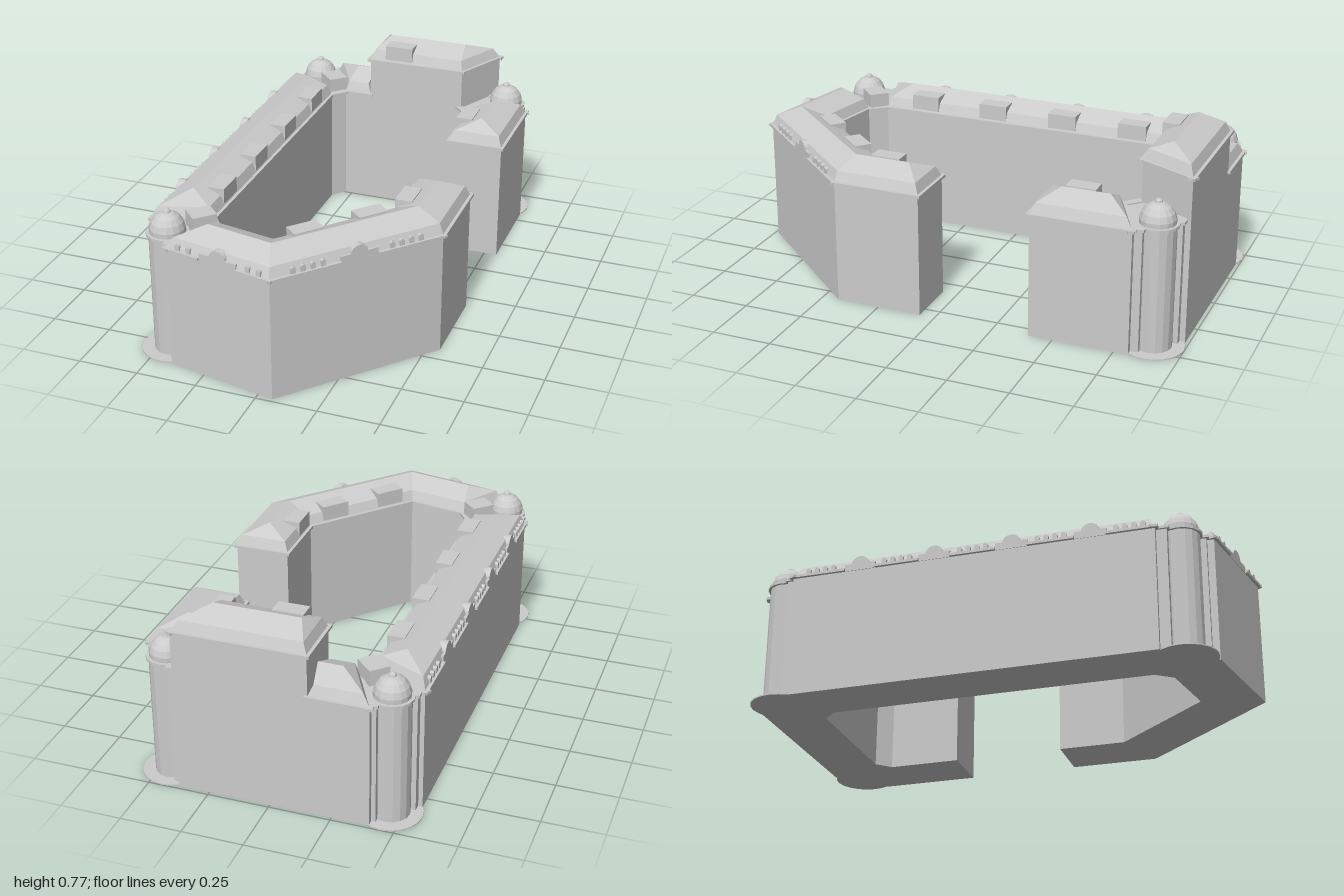
import * as THREE from 'three';

const material = new THREE.MeshStandardMaterial({ color: 0xcccccc, flatShading: true, side: THREE.DoubleSide });

function add(parent, name, geometry, x = 0, y = 0, z = 0) {
  const mesh = new THREE.Mesh(geometry, material);
  mesh.name = name;
  mesh.position.set(x, y, z);
  parent.add(mesh);
  return mesh;
}

// Vertical prism over a plan polygon of [x, z] points
function prism(plan, height) {
  const shape = new THREE.Shape(plan.map(([x, z]) => new THREE.Vector2(x, -z)));
  return new THREE.ExtrudeGeometry(shape, { depth: height, bevelEnabled: false }).rotateX(-Math.PI / 2);
}

const normal = (p, q) => {
  const l = Math.hypot(q[0] - p[0], q[1] - p[1]);
  return [-(q[1] - p[1]) / l, (q[0] - p[0]) / l];
};

// Mitred inset of a plan polygon
function inset(plan, d) {
  const n = plan.length;
  return plan.map((p, i) => {
    const a = normal(plan[(i + n - 1) % n], p), b = normal(p, plan[(i + 1) % n]);
    const k = d / (1 + a[0] * b[0] + a[1] * b[1]);
    return [p[0] - (a[0] + b[0]) * k, p[1] - (a[1] + b[1]) * k];
  });
}

// Two-slope roof: each ring is { plan, y }, joined by quads
function roofGeometry(rings) {
  const pos = [];
  const n = rings[0].plan.length;
  for (let r = 0; r + 1 < rings.length; r++) {
    for (let i = 0; i < n; i++) {
      const j = (i + 1) % n;
      const v = (ring, k) => [ring.plan[k][0], ring.y, ring.plan[k][1]];
      const a = v(rings[r], i), b = v(rings[r], j), c = v(rings[r + 1], j), d = v(rings[r + 1], i);
      pos.push(...a, ...b, ...c);
      if (c[0] !== d[0] || c[2] !== d[2]) pos.push(...a, ...c, ...d);
    }
  }
  const g = new THREE.BufferGeometry();
  g.setAttribute('position', new THREE.Float32BufferAttribute(pos, 3));
  g.computeVertexNormals();
  return g;
}

// Frame on a wall: local x runs along it, local z points outwards
function wallFrame(parent, name, p, q) {
  const frame = new THREE.Group();
  frame.name = name;
  frame.position.set(p[0], 0, p[1]);
  frame.rotation.y = Math.atan2(-(q[1] - p[1]), q[0] - p[0]);
  parent.add(frame);
  return frame;
}

// Panel with a semicircular top of radius r on shoulders of width w
function archedPanel(w, h, r, depth) {
  const s = new THREE.Shape();
  s.moveTo(-w / 2, 0);
  s.lineTo(w / 2, 0);
  s.lineTo(w / 2, h);
  s.lineTo(r, h);
  s.absarc(0, h, r, 0, Math.PI, false);
  s.lineTo(-w / 2, h);
  return new THREE.ExtrudeGeometry(s, { depth, bevelEnabled: false, curveSegments: 6 }).translate(0, 0, -depth);
}

// Cornice along one wall, broken by gables, with small windows and roof dormers
function dressWall(parent, p, q, h, { gables = [], gableWidth = 0.13, windows = [], dormers = [] } = {}) {
  const frame = wallFrame(parent, 'wallTrim', p, q);
  const length = Math.hypot(q[0] - p[0], q[1] - p[1]);
  const stops = [-0.012, ...gables.flatMap(s => [s - gableWidth / 2, s + gableWidth / 2]), length + 0.012];
  for (let i = 0; i < stops.length; i += 2) {
    const w = stops[i + 1] - stops[i];
    add(frame, 'cornice', new THREE.BoxGeometry(w, 0.011, 0.032), stops[i] + w / 2, h + 0.0055, -0.004);
  }
  for (const s of gables) {
    add(frame, 'gable', archedPanel(gableWidth, 0.035, 0.036, 0.03), s, h, 0.002).scale.y = 0.85;
  }
  for (const s of windows) add(frame, 'atticWindow', archedPanel(0.02, 0.018, 0.01, 0.035), s, h + 0.01, 0.003);
  for (const s of dormers) {
    add(frame, 'dormer', new THREE.BoxGeometry(0.125, 0.075, 0.07), s, h + 0.0425, -0.038);
  }
}

// Wing with walls and hipped roof. outer and inner run in the same direction.
function wing(parent, name, outer, inner, { h = 0.51, hips = [0.11, 0.11], trim = {} } = {}) {
  const group = new THREE.Group();
  group.name = name;
  parent.add(group);
  const plan = [...outer, ...[...inner].reverse()];
  add(group, 'walls', prism(plan, h));

  const mids = outer.map((p, i) => [(p[0] + inner[i][0]) / 2, (p[1] + inner[i][1]) / 2]);
  const pull = (a, b, d) => {
    const l = Math.hypot(b[0] - a[0], b[1] - a[1]);
    return [a[0] + (b[0] - a[0]) * d / l, a[1] + (b[1] - a[1]) * d / l];
  };
  const ridge = mids.slice(), last = mids.length - 1;
  ridge[0] = pull(mids[0], mids[1], hips[0]);
  ridge[last] = pull(mids[last], mids[last - 1], hips[1]);
  add(group, 'roof', roofGeometry([
    { plan, y: h + 0.008 },
    { plan: inset(plan, 0.018), y: h + 0.052 },
    { plan: [...ridge, ...ridge.slice().reverse()], y: h + 0.093 },
  ]));
  plan.forEach((p, i) => dressWall(group, p, plan[(i + 1) % plan.length], h, trim[i]));
}

// Round corner tower on a thin plinth
function tower(parent, x, z) {
  const group = new THREE.Group();
  group.name = 'cornerTower';
  group.position.set(x, 0, z);
  parent.add(group);
  add(group, 'plinth', new THREE.CylinderGeometry(0.125, 0.125, 0.005, 20), 0, 0.0025);
  add(group, 'shaft', new THREE.CylinderGeometry(0.075, 0.075, 0.51, 16), 0, 0.255);
  add(group, 'towerCornice', new THREE.CylinderGeometry(0.085, 0.085, 0.011, 16), 0, 0.5155);
  const profile = [[0.072, 0.52], [0.072, 0.54], [0.064, 0.565], [0.048, 0.587], [0.026, 0.601], [0, 0.606]];
  add(group, 'dome', new THREE.LatheGeometry(profile.map(p => new THREE.Vector2(...p)), 16));
  add(group, 'finial', new THREE.SphereGeometry(0.016, 10, 6), 0, 0.603);
}

// Low block joining two wings behind a tower; from and to give its courtyard edge
function cornerBlock(parent, plan, piers) {
  add(parent, 'cornerBlock', prism(plan, 0.515));
  dressWall(parent, plan[1], plan[0], 0.51);
  for (const [x, z] of piers) {
    add(parent, 'pier', new THREE.BoxGeometry(0.045, 0.51, 0.045), x, 0.255, z);
    add(parent, 'pierCap', new THREE.BoxGeometry(0.062, 0.011, 0.062), x, 0.5155, z);
  }
}

export function createModel() {
  const model = new THREE.Group();
  model.name = 'courtyardBuilding';
  const row = (centre, count = 4, step = 0.036) =>
    Array.from({ length: count }, (_, i) => centre + (i - (count - 1) / 2) * step);

  wing(model, 'longWing', [[-0.555, -0.81], [-0.555, 0.69]], [[-0.33, -0.70], [-0.33, 0.62]], {
    hips: [0.08, 0.11],
    trim: {
      0: {
        gables: [0.29, 0.605, 0.925, 1.245],
        windows: [0.12, 0.447, 0.765, 1.085, 1.4].flatMap(s => row(s)),
      },
      2: { dormers: [0.185, 0.505, 0.825, 1.14] },
    },
  });

  wing(model, 'frontWing',
    [[-0.40, 0.89], [0.063, 0.985], [0.555, 0.43], [0.555, 0.065]],
    [[-0.28, 0.69], [-0.02, 0.74], [0.325, 0.345], [0.325, 0.065]], {
      hips: [0.08, 0.09],
      trim: {
        0: { gables: [0.24], gableWidth: 0.17, windows: [0.055, 0.105, 0.375, 0.425] },
        1: { gables: [0.375], gableWidth: 0.16, windows: [...row(0.16, 4, 0.042), ...row(0.58, 4, 0.042)] },
        4: { dormers: [0.215] },
        5: { dormers: [0.13, 0.41] },
      },
    });

  wing(model, 'shortWing', [[0.555, -0.40], [0.555, -0.81]], [[0.325, -0.40], [0.325, -0.70]], {
    hips: [0.09, 0.07],
    trim: { 2: { dormers: [0.15] } },
  });

  wing(model, 'tallBackWing', [[0.38, -0.985], [-0.16, -0.985]], [[0.27, -0.755], [-0.16, -0.755]], {
    h: 0.682, hips: [0.075, 0.06],
    trim: { 2: { dormers: [0.132] } },
  });

  wing(model, 'lowBackWing', [[-0.16, -0.985], [-0.40, -0.985]], [[-0.16, -0.755], [-0.28, -0.755]], {
    hips: [0, 0.08],
  });

  // Corner joints; the first two points are the courtyard edge
  cornerBlock(model, [[-0.33, -0.70], [-0.28, -0.755], [-0.40, -0.985], [-0.40, -0.93],
    [-0.45, -0.88], [-0.50, -0.81], [-0.555, -0.81]], [[-0.515, -0.82], [-0.395, -0.94]]);
  cornerBlock(model, [[-0.28, 0.69], [-0.33, 0.62], [-0.555, 0.69], [-0.50, 0.69],
    [-0.45, 0.77], [-0.40, 0.84], [-0.40, 0.89]], [[-0.515, 0.71], [-0.395, 0.84]]);
  cornerBlock(model, [[0.27, -0.755], [0.325, -0.70], [0.555, -0.81], [0.50, -0.81],
    [0.44, -0.88], [0.38, -0.93], [0.38, -0.985]], [[0.51, -0.82], [0.385, -0.94]]);

  // Rotated attic blocks over the two corner joints
  for (const z of [-0.775, 0.685]) {
    const attic = add(model, 'cornerAttic', new THREE.BoxGeometry(0.085, 0.065, 0.1), -0.345, 0.5475, z);
    attic.rotation.y = z < 0 ? Math.PI / 4 : -Math.PI / 4;
  }

  for (const [x, z] of [[-0.45, -0.875], [0.445, -0.875], [-0.45, 0.77]]) tower(model, x, z);
  return model;
}
